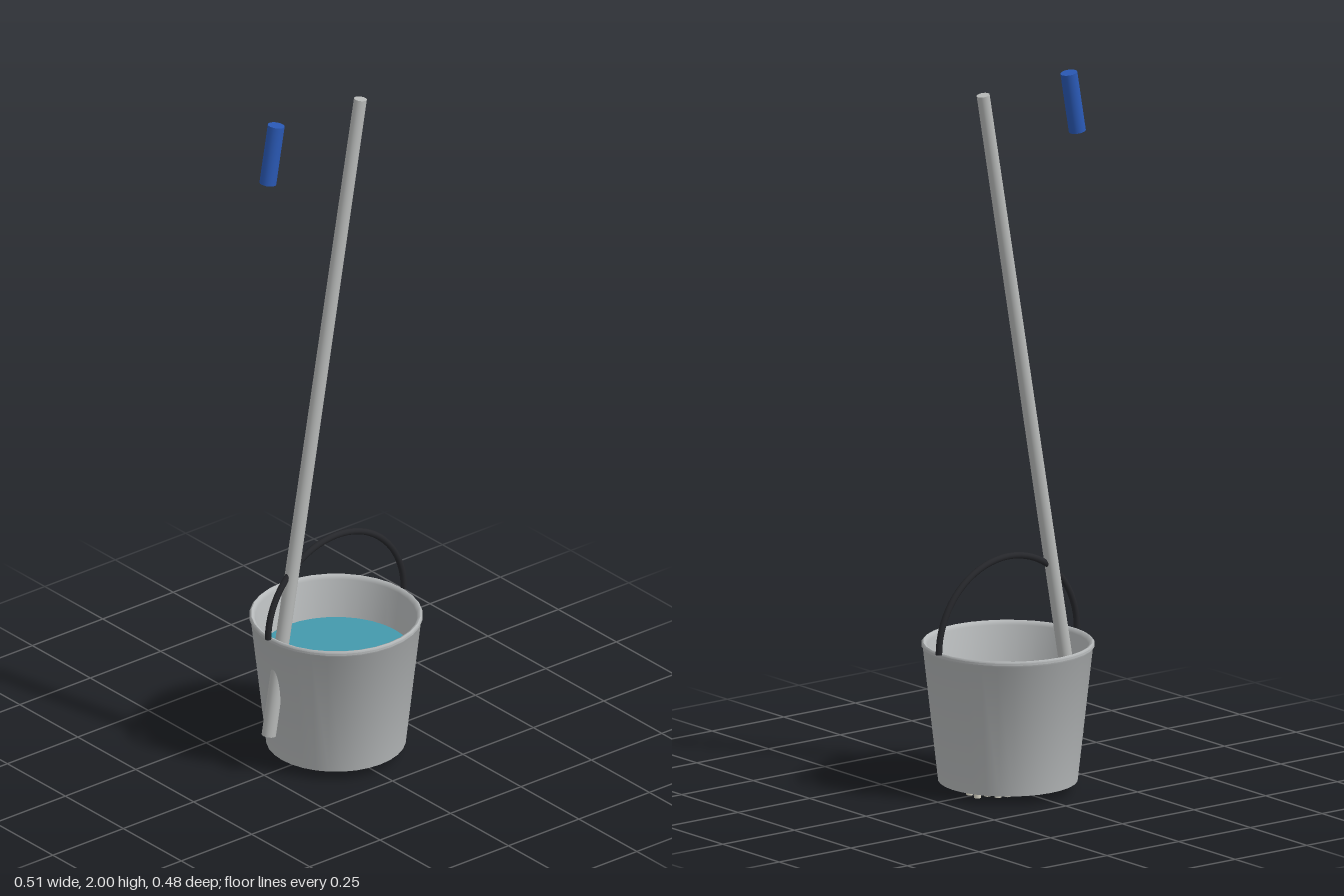
import * as THREE from 'three';
import { toCreasedNormals } from 'three/addons/utils/BufferGeometryUtils.js';

const material = (name, color) => {
  const m = new THREE.MeshStandardMaterial({ color });
  m.name = name;
  return m;
};

export function createModel() {
  const model = new THREE.Group();
  model.name = 'mopAndBucket';

  const grey = material('bucket grey', 0xb6b9ba);
  const poleGrey = material('pole grey', 0xb8bab9);
  const water = material('water teal', 0x4499ad);
  const blue = material('grip blue', 0x2a59b5);
  const black = material('handle black', 0x26272b);
  const cream = material('strand cream', 0xd8d5c6);

  const add = (name, geometry, mat, x = 0, y = 0, z = 0, parent = model) => {
    const mesh = new THREE.Mesh(geometry, mat);
    mesh.name = name;
    mesh.position.set(x, y, z);
    parent.add(mesh);
    return mesh;
  };

  const bucketX = 0.005;

  // Bucket shell: floor, outer wall, rounded rim, inner wall and inner floor
  const profile = [
    [0, 0.03], [0.192, 0.03], [0.234, 0.405], [0.238, 0.411], [0.238, 0.417],
    [0.233, 0.422], [0.227, 0.42], [0.222, 0.41], [0.184, 0.045], [0, 0.045],
  ].map(([r, y]) => new THREE.Vector2(r, y));
  add('bucket', toCreasedNormals(new THREE.LatheGeometry(profile, 32), 0.9), grey, bucketX);

  // Water surface
  add('water', new THREE.CircleGeometry(0.21, 32), water, bucketX, 0.3)
    .rotation.x = -Math.PI / 2;

  // Arched carrying handle
  add('bucketHandle', new THREE.TorusGeometry(0.241, 0.009, 10, 36, Math.PI), black, bucketX, 0.42);

  // Leaning pole and the grip floating beside its top
  const tilt = -0.1735;
  add('mopPole', new THREE.CylinderGeometry(0.018, 0.02, 1.885, 20), poleGrey, -0.071, 1.051)
    .rotation.z = tilt;
  add('mopGrip', new THREE.CylinderGeometry(0.0235, 0.0235, 0.172, 20), blue, -0.222, 1.911)
    .rotation.z = tilt;

  // Ring of mop strands poking through the bucket floor
  const strands = new THREE.Group();
  strands.name = 'mopStrands';
  strands.position.set(0.065, 0, 0);
  model.add(strands);
  const count = 16;
  const strandShape = new THREE.CylinderGeometry(0.01, 0.01, 0.14, 8);
  for (let i = 0; i < count; i++) {
    const a = (i / count) * Math.PI * 2;
    const drop = 0.008 + 0.004 * Math.sin(i * 2.4);
    add('strand', strandShape, cream, 0.074 * Math.cos(a), 0.07 + drop, 0.074 * Math.sin(a), strands);
  }

  return model;
}
